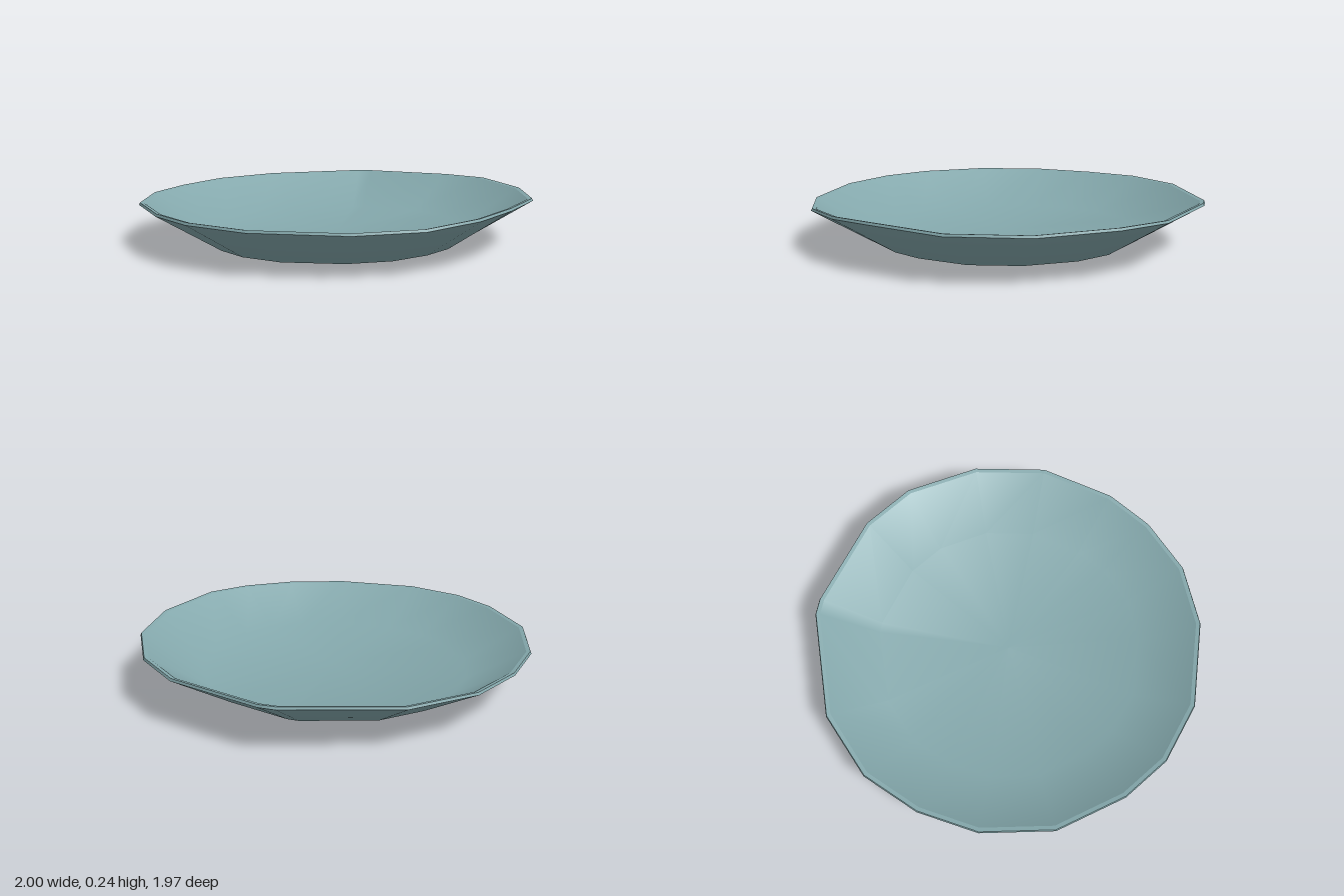
import * as THREE from 'three';

// Uneven hand-made rim, listed as x, z, height
const RIM = [
  [-0.2, -0.99, 0.215], [0.16, -0.99, 0.22], [0.66, -0.76, 0.23], [0.72, -0.7, 0.23],
  [0.96, -0.27, 0.235], [1, 0.02, 0.242], [0.91, 0.4, 0.235], [0.69, 0.71, 0.235],
  [0.35, 0.91, 0.243], [0.1, 0.98, 0.23], [-0.2, 0.98, 0.215], [-0.5, 0.86, 0.21],
  [-0.83, 0.56, 0.21], [-0.97, 0.27, 0.212], [-1, 0, 0.214], [-0.94, -0.37, 0.212],
  [-0.74, -0.68, 0.21], [-0.49, -0.87, 0.21],
];

// A ring that follows the rim outline at a given scale and height rule
const ring = (scale, height) =>
  RIM.map(([x, z, y]) => [x * scale, height(x * scale, y), z * scale]);

// Smooth sheet through rings listed from the middle outwards
function sheet(rings, facesUp, centreY) {
  const n = RIM.length;
  const points = rings.flat(2);
  const index = [];
  const tri = (a, b, c) => (facesUp ? index.push(a, c, b) : index.push(a, b, c));
  const centre = rings.length * n;
  if (centreY !== undefined) points.push(0, centreY, 0);
  for (let i = 0; i < n; i++) {
    const j = (i + 1) % n;
    if (centreY !== undefined) tri(centre, i, j);
    for (let r = 0; r < rings.length - 1; r++) {
      const a = r * n, b = a + n;
      tri(a + i, b + i, b + j);
      tri(a + i, b + j, a + j);
    }
  }
  const g = new THREE.BufferGeometry();
  g.setAttribute('position', new THREE.Float32BufferAttribute(points, 3));
  g.setIndex(index);
  g.computeVertexNormals();
  return g;
}

export function createModel() {
  const glaze = new THREE.MeshStandardMaterial({ color: 0x84a8ac });
  glaze.name = 'blueGreyGlaze';
  const group = new THREE.Group();
  group.name = 'dish';
  const add = (name, geometry) => {
    const mesh = new THREE.Mesh(geometry, glaze);
    mesh.name = name;
    group.add(mesh);
  };

  // The foot tilts slightly, so its height grows towards +x
  const foot = ring(0.67, (x) => 0.011 + 0.014 * x);
  const outerEdge = ring(1, (x, y) => y - 0.012);
  const topEdge = ring(0.995, (x, y) => y);
  const innerEdge = ring(0.975, (x, y) => y - 0.004);
  const innerFloor = ring(0.69, (x) => 0.04 + 0.012 * x);

  add('underside', sheet([foot, outerEdge], false, 0.011));
  add('rimSide', sheet([topEdge, outerEdge], true));
  add('rimTop', sheet([innerEdge, topEdge], true));
  add('bowlInside', sheet([innerFloor, innerEdge], true, 0.035));
  return group;
}
